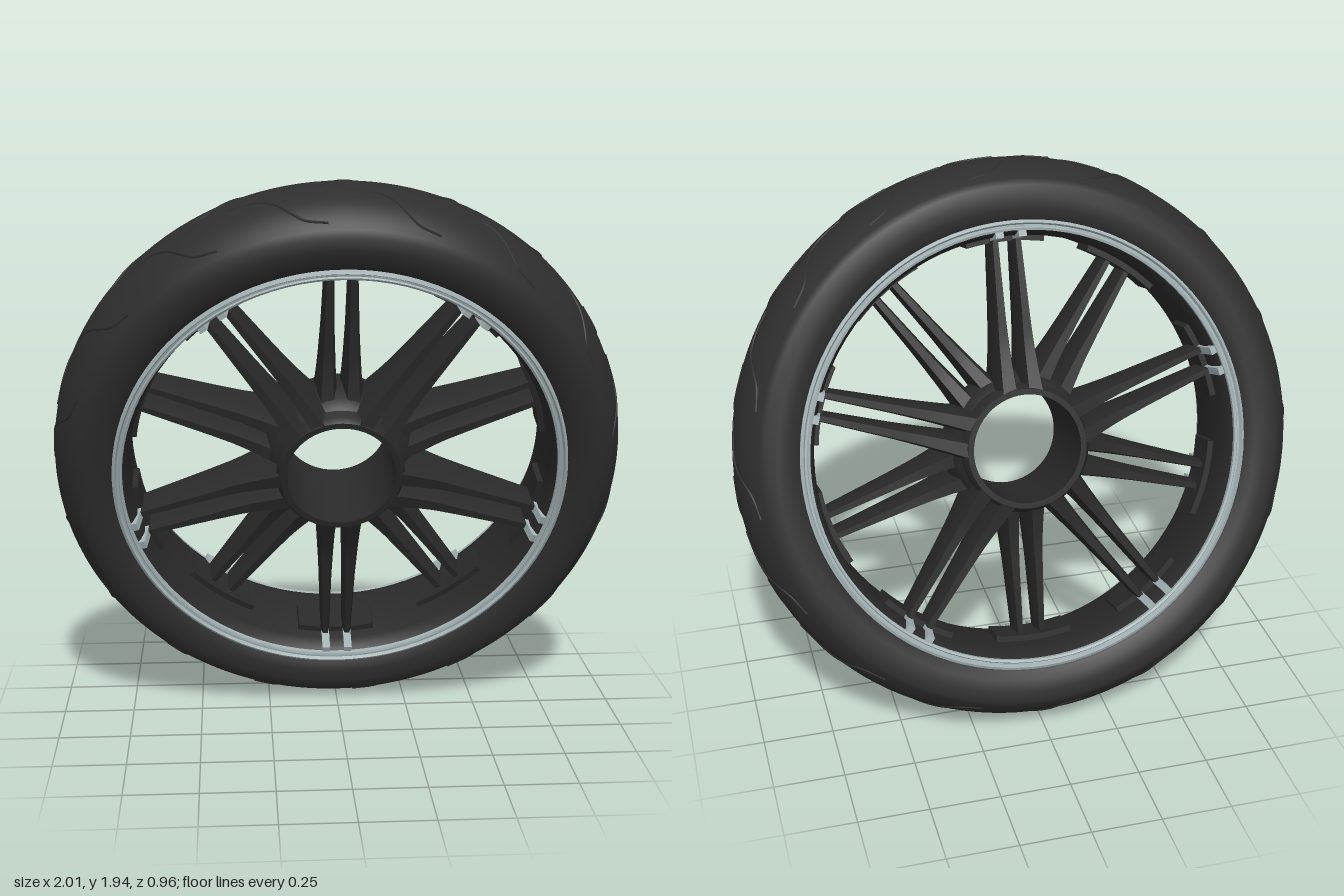
import * as THREE from 'three';
import { toCreasedNormals } from 'three/addons/utils/BufferGeometryUtils.js';

const material = (name, color) => {
  const m = new THREE.MeshStandardMaterial({ color });
  m.name = name;
  return m;
};

// Lathe around the axle (z); profile points are [radius, axial position]
function ring(profile, segments = 96) {
  const g = new THREE.LatheGeometry(profile.map(([r, a]) => new THREE.Vector2(r, a)), segments);
  return g.rotateX(Math.PI / 2);
}

// Move every vertex of a geometry by a rule
function reshape(g, rule) {
  const p = g.attributes.position, v = new THREE.Vector3();
  for (let i = 0; i < p.count; i++) {
    rule(v.fromBufferAttribute(p, i));
    p.setXYZ(i, v.x, v.y, v.z);
  }
  return toCreasedNormals(g, 0.6);
}

// Interpolate through [position, value] stops
function ramp(stops, t) {
  for (let i = 1; i < stops.length; i++) {
    const [t0, v0] = stops[i - 1], [t1, v1] = stops[i];
    if (t <= t1) return v0 + (v1 - v0) * (t - t0) / (t1 - t0);
  }
  return stops[stops.length - 1][1];
}

const crown = a => 1 - 0.09 * Math.pow(Math.abs(a) / 0.209, 2.4);

// Tapered blade along +y, deep at the hub and slim at the rim
function spokeGeometry(side, face) {
  return reshape(new THREE.BoxGeometry(1, 1, 1, 1, 12, 4), v => {
    const t = v.y + 0.5;
    const width = ramp([[0, 0.08], [0.2, 0.062], [0.5, 0.045], [1, 0.03]], t);
    const depth = ramp([[0, 0.27], [0.12, 0.23], [0.3, 0.18], [1, 0.12]], t);
    const bevel = Math.abs(v.z) > 0.4 ? 0.6 : 1;
    v.x = side * (0.046 - 0.006 * t) + v.x * width * bevel;
    v.z = face * (0.045 + 0.01 * t) + v.z * depth;
    v.y = 0.2 + 0.54 * t;
  });
}

// Curved plate lying against the inside of the barrel
function padGeometry(face) {
  return reshape(new THREE.BoxGeometry(0.28, 0.024, 0.13, 8, 1, 1), v => {
    const r = 0.728 + v.y, angle = v.x / 0.73;
    v.set(r * Math.sin(angle), r * Math.cos(angle), v.z + face * 0.025);
  });
}

export function createModel() {
  const rubber = material('tyre rubber', 0x2e2e2e);
  const black = material('black alloy', 0x292929);
  const silver = material('silver trim', 0xa3b1b4);

  const model = new THREE.Group();
  model.name = 'wheel';
  const wheel = new THREE.Group();
  wheel.name = 'tiltedWheel';
  wheel.position.y = 0.97;
  wheel.rotation.x = THREE.MathUtils.degToRad(18);
  model.add(wheel);

  const add = (parent, name, geometry, mat) => {
    const mesh = new THREE.Mesh(geometry, mat);
    mesh.name = name;
    parent.add(mesh);
    return mesh;
  };

  // Tyre with rounded crown and sidewalls
  const half = [[0.785, 0.18], [0.8, 0.197], [0.83, 0.209], [0.87, 0.215]];
  const tyre = half.map(([r, a]) => [r, -a]);
  for (let i = -10; i <= 10; i++) tyre.push([crown(i * 0.0208), i * 0.0208]);
  tyre.push(...half.slice().reverse(), [0.785, -0.18]);
  add(wheel, 'tyre', ring(tyre, 128), rubber);

  // Tread grooves curving from the crown to each shoulder
  const path = [[0, 0.012], [0.1, 0.025], [0.16, 0.065], [0.21, 0.12], [0.25, 0.15], [0.33, 0.165]];
  const tread = new THREE.Group();
  tread.name = 'treadPattern';
  wheel.add(tread);
  for (const face of [1, -1]) {
    const curve = new THREE.CatmullRomCurve3(path.map(([th, a]) => {
      const r = crown(a) - 0.002;
      return new THREE.Vector3(r * Math.sin(th), r * Math.cos(th), face * a);
    }));
    const groove = new THREE.TubeGeometry(curve, 24, 0.006, 5);
    for (let i = 0; i < 16; i++) {
      const mesh = add(tread, 'treadGroove', groove, rubber);
      mesh.rotation.z = (i + (face > 0 ? 0 : 0.5)) * Math.PI / 8;
    }
  }

  // Rim barrel
  add(wheel, 'rimBarrel', toCreasedNormals(ring([
    [0.79, -0.18], [0.79, 0.18], [0.765, 0.188], [0.752, 0.172], [0.737, 0.13],
    [0.737, -0.13], [0.752, -0.172], [0.765, -0.188], [0.79, -0.18],
  ]), 0.6), black);

  // Silver double-edged lip on both sides
  const lip = [[0.758, 0.17], [0.793, 0.17], [0.793, 0.196], [0.783, 0.203],
    [0.777, 0.192], [0.77, 0.192], [0.766, 0.198], [0.758, 0.194], [0.758, 0.17]];
  const lipGeometry = toCreasedNormals(ring(lip), 0.5);
  for (const face of [1, -1]) {
    const mesh = add(wheel, face > 0 ? 'frontRimLip' : 'backRimLip', lipGeometry, silver);
    if (face < 0) mesh.rotation.y = Math.PI;
  }

  // Open hub sleeve and the flared web around it
  add(wheel, 'hubSleeve', toCreasedNormals(ring([
    [0.192, -0.18], [0.212, -0.18], [0.225, -0.16], [0.225, 0.16],
    [0.212, 0.18], [0.192, 0.18], [0.192, -0.18],
  ], 60), 0.6), black);
  add(wheel, 'hubWeb', ring([
    [0.2, -0.13], [0.23, -0.11], [0.25, -0.07], [0.268, 0],
    [0.25, 0.07], [0.23, 0.11], [0.2, 0.13],
  ], 60), black);

  // Ten twin spokes, alternately set to the back and the front
  const spokes = {}, pads = {};
  for (const face of [1, -1]) {
    pads[face] = padGeometry(face);
    spokes[face] = [1, -1].map(side => spokeGeometry(side, face));
  }
  const clip = new THREE.BoxGeometry(0.028, 0.03, 0.115);
  for (let i = 0; i < 10; i++) {
    const face = i % 2 ? 1 : -1;
    const pair = new THREE.Group();
    pair.name = face > 0 ? 'frontSpokePair' : 'backSpokePair';
    pair.rotation.z = i * Math.PI / 5;
    wheel.add(pair);
    for (const g of spokes[face]) add(pair, 'spoke', g, black);
    add(pair, 'spokePad', pads[face], black);
    for (const side of [1, -1]) {
      const mesh = add(pair, 'spokeClip', clip, silver);
      mesh.position.set(side * 0.04, 0.742, face * 0.13);
      mesh.rotation.x = -face * 0.15;
    }
  }
  return model;
}
